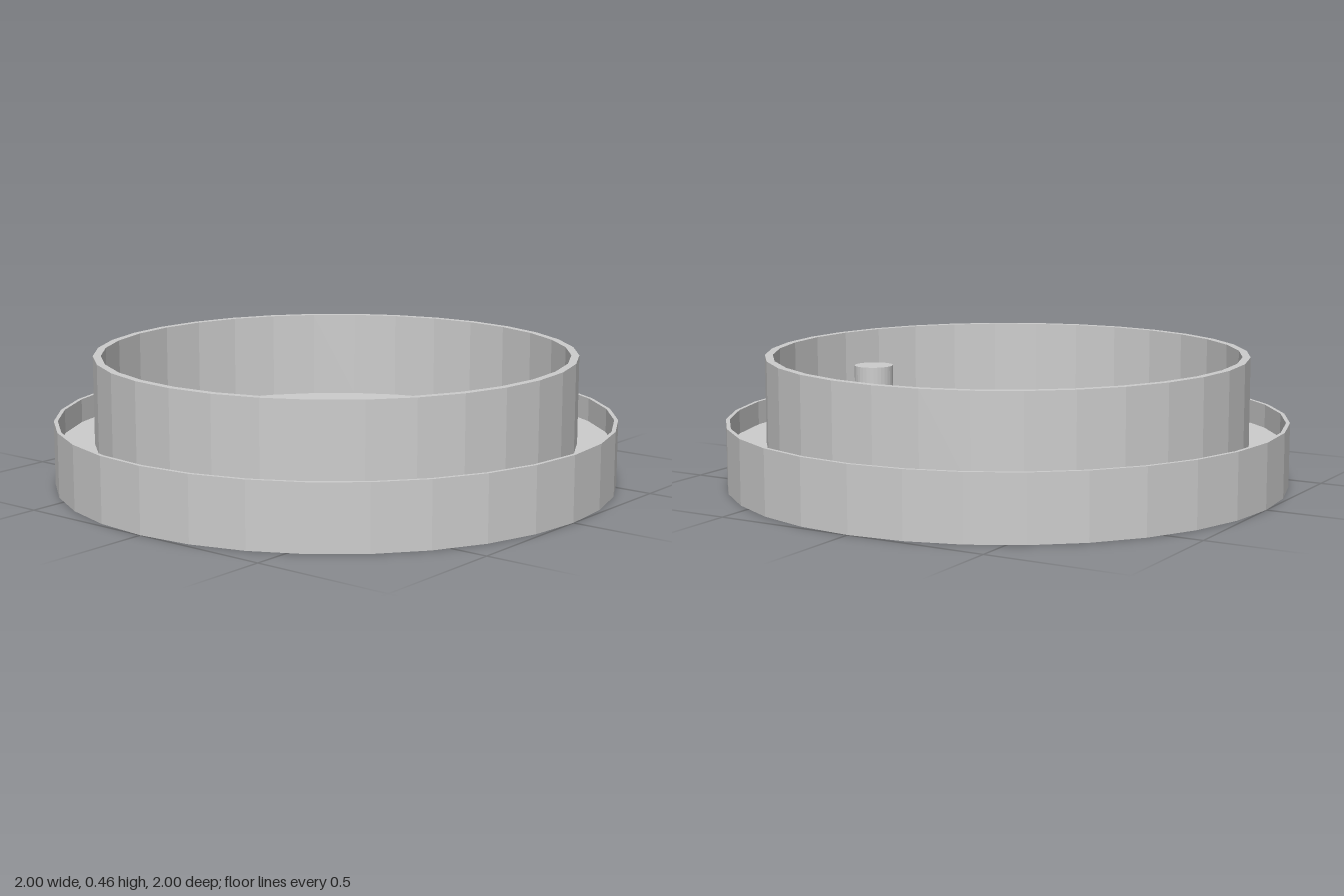
import * as THREE from 'three';

const SIDES = 32;
const FLOOR = 0.143;

export function createModel() {
  const grey = new THREE.MeshStandardMaterial({ color: 0xcccccc, flatShading: true });
  grey.name = 'grey';
  const group = new THREE.Group();
  group.name = 'roundTray';

  // Turned part from a [radius, height] profile, running up the outside and back inwards
  const turn = (name, profile) => {
    const points = profile.map(([r, y]) => new THREE.Vector2(r, y));
    const mesh = new THREE.Mesh(new THREE.LatheGeometry(points, SIDES), grey);
    mesh.name = name;
    group.add(mesh);
    return mesh;
  };

  // Solid base with a thin outer lip
  turn('baseTray', [[0, 0], [1, 0], [1, 0.229], [0.986, 0.229], [0.986, FLOOR], [0, FLOOR]]);

  // Taller inner wall standing on the floor
  turn('innerWall', [[0.858, FLOOR], [0.858, 0.459], [0.83, 0.459], [0.83, FLOOR]]);

  // Small upright peg near the front
  const peg = turn('peg', [[0.071, FLOOR], [0.071, 0.372], [0, 0.372]]);
  peg.position.z = 0.575;

  return group;
}
